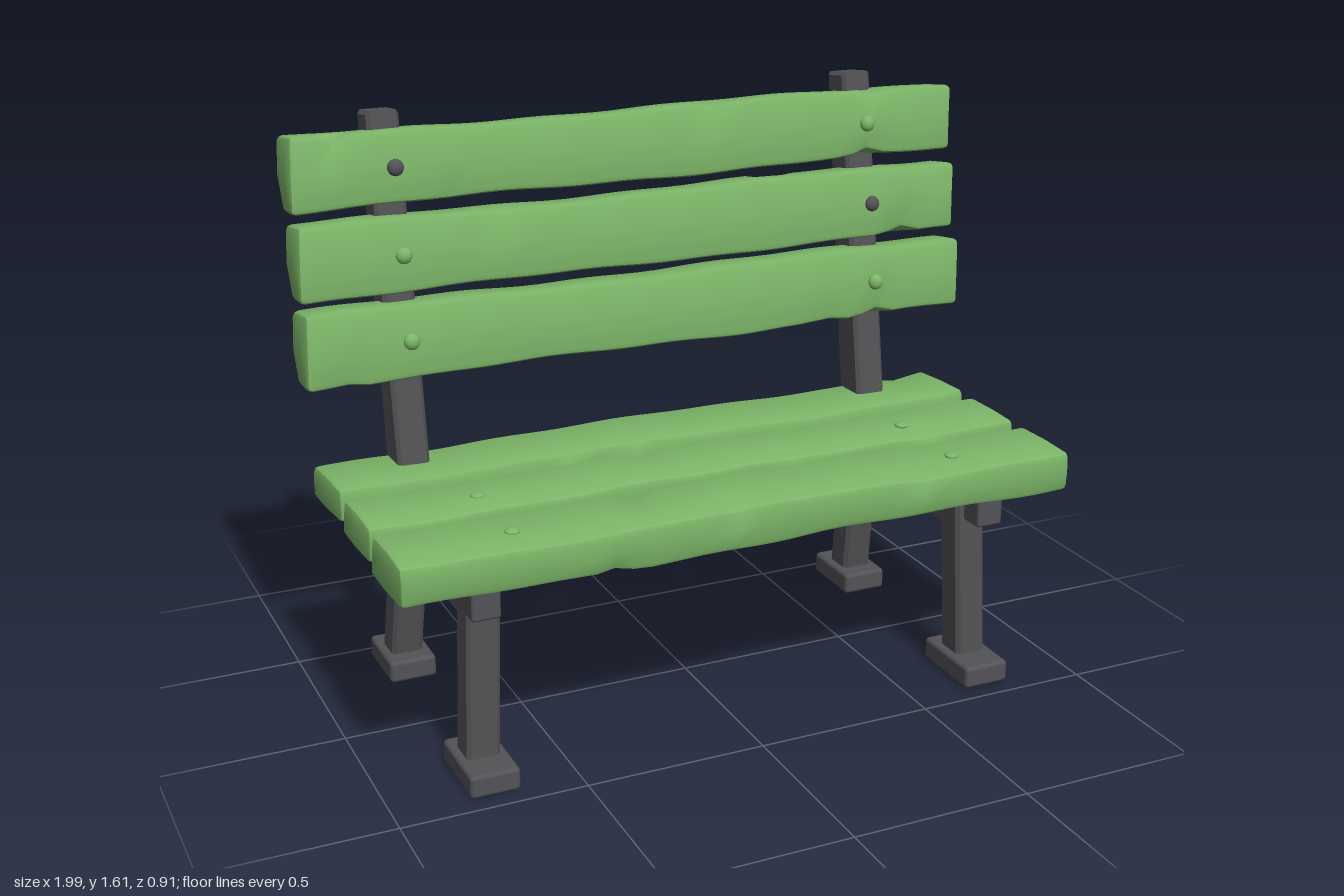
import * as THREE from 'three';
import { toCreasedNormals, mergeVertices } from 'three/addons/utils/BufferGeometryUtils.js';
import { RoundedBoxGeometry } from 'three/addons/geometries/RoundedBoxGeometry.js';

const green = new THREE.MeshStandardMaterial({ color: 0x7cb568 });
green.name = 'painted wood green';
const iron = new THREE.MeshStandardMaterial({ color: 0x535256 });
iron.name = 'dark iron';

function seeded(seed) {
  let s = seed * 7919 + 17;
  return () => (s = (s * 16807) % 2147483647) / 2147483647;
}

// Hand-hewn plank: chamfered box with wavy faces and a few nicked edges
function plankGeometry(len, h, d, seed) {
  const N = 40, r = 0.014, rnd = seeded(seed);
  let g = new THREE.BoxGeometry(1, 1, 1, N, 4, 4);
  g.deleteAttribute('uv');
  g.deleteAttribute('normal');
  g = mergeVertices(g);
  const phase = Array.from({ length: 6 }, () => rnd() * 6.28);
  const nicks = Array.from({ length: 4 }, () => ({
    x: (rnd() - 0.5) * len * 0.9, y: rnd() < 0.6 ? 1 : -1, z: rnd() < 0.7 ? 1 : -1, depth: 0.008 + rnd() * 0.012,
  }));
  const size = [len, h, d], segs = [N, 4, 4];
  const p = g.attributes.position, v = new THREE.Vector3(), inner = new THREE.Vector3();
  for (let i = 0; i < p.count; i++) {
    v.fromBufferAttribute(p, i);
    ['x', 'y', 'z'].forEach((a, k) => {
      const half = size[k] / 2, t = v[a];
      inner[a] = THREE.MathUtils.clamp(t / (0.5 - 1 / segs[k]), -1, 1) * (half - r);
      v[a] = Math.abs(t) > 0.499 ? Math.sign(t) * half : inner[a];
    });
    v.sub(inner).setLength(v.length() > 1e-6 ? r : 0).add(inner);
    const x = v.x, sy = Math.sign(v.y), sz = Math.sign(v.z);
    for (const n of nicks) {
      const f = Math.max(0, 1 - Math.abs(x - n.x) / 0.06) * n.depth;
      if (sy === n.y && sz === n.z && Math.abs(v.y) > h / 2 - r * 1.5 && Math.abs(v.z) > d / 2 - r * 1.5) {
        v.y -= sy * f;
        v.z -= sz * f;
      }
    }
    v.y += 0.004 * Math.sin(x * 5 + phase[0] + sy) + 0.002 * Math.sin(x * 17 + phase[1] + sy * 2);
    v.z += 0.003 * Math.sin(x * 6 + phase[2] + sz) + 0.002 * Math.sin(x * 15 + phase[3] + sz * 2);
    v.x += 0.006 * Math.sin(v.y * 20 + v.z * 14 + phase[4]) * Math.abs(x) / (len / 2);
    p.setXYZ(i, v.x, v.y, v.z);
  }
  return toCreasedNormals(g, 0.6);
}

// Side frame: front leg, seat rail, rear leg and back post in one outline of [z, y]
function frameGeometry(side) {
  const outline = [
    [0.27, 0.04], [0.362, 0.04], [0.35, 0.575], [-0.2, 0.575], [-0.215, 0.67], [-0.36, 1.61],
    [-0.455, 1.598], [-0.332, 0.67], [-0.332, 0.44], [-0.4, 0.04], [-0.308, 0.04], [-0.238, 0.435], [0.262, 0.435],
  ];
  const b = 0.01, w = 0.09;
  const shape = new THREE.Shape(outline.map(([z, y]) => new THREE.Vector2(z, y)));
  const g = new THREE.ExtrudeGeometry(shape, {
    depth: w - 2 * b, bevelThickness: b, bevelSize: b, bevelOffset: -b, bevelSegments: 1,
  });
  g.translate(0, 0, b - w / 2).rotateY(-Math.PI / 2);
  // Legs splay slightly outwards
  const p = g.attributes.position;
  for (let i = 0; i < p.count; i++) {
    p.setX(i, p.getX(i) + side * (0.71 + 0.023 * Math.max(0, 1 - p.getY(i) / 0.55)));
  }
  return toCreasedNormals(g, 0.4);
}

export function createModel() {
  const bench = new THREE.Group();
  bench.name = 'bench';
  const add = (name, geometry, material, x, y, z, parent = bench) => {
    const m = new THREE.Mesh(geometry, material);
    m.name = name;
    m.position.set(x, y, z);
    parent.add(m);
    return m;
  };

  // Iron frames with feet and front rail ends
  for (const side of [1, -1]) {
    const frame = new THREE.Group();
    frame.name = side > 0 ? 'leftFrame' : 'rightFrame';
    bench.add(frame);
    add('sideFrame', frameGeometry(side), iron, 0, 0, 0, frame);
    add('frontFoot', new RoundedBoxGeometry(0.135, 0.064, 0.23, 2, 0.012), iron, side * 0.73, 0.032, 0.335, frame);
    add('rearFoot', new RoundedBoxGeometry(0.135, 0.064, 0.205, 2, 0.012), iron, side * 0.73, 0.032, -0.353, frame);
    add('railEnd', new RoundedBoxGeometry(0.078, 0.1, 0.13, 2, 0.008), iron, side * 0.73, 0.525, 0.357, frame);
  }

  // Seat planks: [z, y, height, depth, tilt about x, yaw]
  [
    [0.338, 0.614, 0.112, 0.226, 0.03, 0.004],
    [0.068, 0.62, 0.098, 0.203, 0.04, 0.008],
    [-0.212, 0.62, 0.1, 0.23, -0.03, 0.005],
  ].forEach(([z, y, h, d, tilt, yaw], i) => {
    const plank = add('seatPlank' + (i + 1), plankGeometry(1.92, h, d, i + 1), green, 0, y, z);
    plank.rotation.set(tilt, yaw, 0);
    // Painted-over bolt heads
    if (i < 2) for (const x of [-0.63, 0.65]) {
      const bolt = add('seatBolt', new THREE.SphereGeometry(0.02, 10, 8), green, x, h / 2 - 0.002, 0, plank);
      bolt.scale.y = 0.4;
    }
  });

  // Back planks: [z, y, height, depth, length, bolt materials for -x and +x]
  [
    [-0.268, 1.008, 0.198, 0.128, 1.98, [green, green]],
    [-0.304, 1.235, 0.197, 0.128, 1.97, [green, iron]],
    [-0.343, 1.463, 0.192, 0.124, 1.97, [iron, green]],
  ].forEach(([z, y, h, d, len, paint], i) => {
    const plank = add('backPlank' + (i + 1), plankGeometry(len, h, d, i + 11), green, 0, y, z);
    plank.rotation.x = -0.14;
    paint.forEach((material, k) => {
      const bolt = add('backBolt', new THREE.SphereGeometry(0.023, 12, 8), material, k ? 0.705 : -0.705, 0, d / 2 + 0.003, plank);
      bolt.scale.z = 0.75;
    });
  });

  return bench;
}
